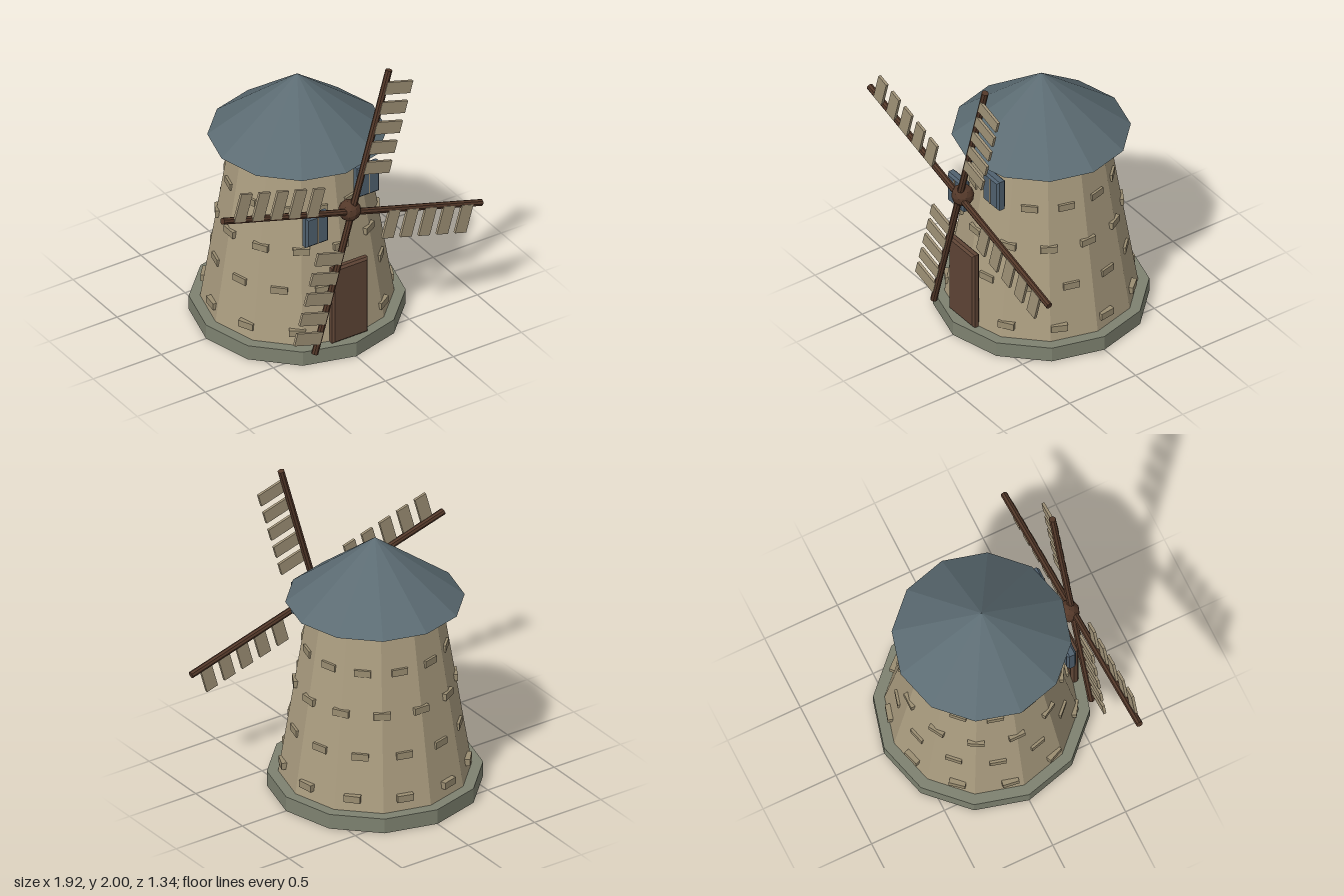
import * as THREE from 'three';

const mat = (name, color, extra = {}) => {
  const m = new THREE.MeshStandardMaterial({ color, flatShading: true, ...extra });
  m.name = name;
  return m;
};

export function createModel() {
  const wall = mat('sandstone', 0xab9d80);
  const brick = mat('brick', 0x9a8d71);
  const stone = mat('foundation stone', 0x7e8270);
  const slate = mat('roof slate', 0x5c6c73);
  const doorWood = mat('door wood', 0x5e4435);
  const darkWood = mat('dark wood', 0x533829);
  const glass = mat('shutter blue', 0x50616f);
  const slatWood = mat('pale slat wood', 0xa19378);

  const model = new THREE.Group();
  model.name = 'windmill';
  const add = (parent, name, geo, material, x = 0, y = 0, z = 0) => {
    const m = new THREE.Mesh(geo, material);
    m.name = name;
    m.position.set(x, y, z);
    parent.add(m);
    return m;
  };

  // box with chamfered edges, centred on the origin
  const chamferBox = (w, h, d, b) => {
    const x = w / 2 - b, y = h / 2 - b;
    const s = new THREE.Shape([[-x, -y], [x, -y], [x, y], [-x, y]].map(p => new THREE.Vector2(...p)));
    const g = new THREE.ExtrudeGeometry(s, {
      depth: d - 2 * b, bevelEnabled: true, bevelSize: b, bevelThickness: b, bevelSegments: 1,
    });
    return g.translate(0, 0, -d / 2 + b);
  };

  // twelve-sided body
  add(model, 'foundation', new THREE.CylinderGeometry(0.67, 0.67, 0.1, 12), stone, 0, 0.05);
  add(model, 'tower', new THREE.CylinderGeometry(0.41, 0.6, 1.19, 12), wall, 0, 0.695);
  add(model, 'roof', new THREE.ConeGeometry(0.556, 0.43, 12), slate, 0, 1.505);

  // raised bricks, alternate rows shifted by half a step
  const bricks = new THREE.Group();
  bricks.name = 'bricks';
  model.add(bricks);
  const rows = [[0.187, 11, 0], [0.457, 12, 0.5], [0.73, 12, 0], [1.0, 12, 0.5], [1.267, 12, 0]];
  const brickGeo = new THREE.BoxGeometry(0.105, 0.046, 0.05);
  for (const [y, count, shift] of rows) {
    const r = (0.6 - 0.16 * (y - 0.1)) * (shift ? 0.972 : 1) - 0.015;
    for (let i = 0; i < count; i++) {
      const a = ((i + shift) / count) * Math.PI * 2;
      add(bricks, 'brick', brickGeo, brick, Math.sin(a) * r, y, Math.cos(a) * r).rotation.y = a;
    }
  }

  // door and two windows
  add(model, 'door', chamferBox(0.262, 0.55, 0.055, 0.014), doorWood, 0, 0.375, 0.583);
  for (const [x, y] of [[-0.187, 0.915], [0.19, 1.15]]) {
    const win = new THREE.Group();
    win.name = 'window';
    win.position.set(x, y, 0.492);
    add(win, 'windowPanel', chamferBox(0.165, 0.215, 0.064, 0.014), glass);
    add(win, 'mullion', new THREE.BoxGeometry(0.007, 0.187, 0.006), slatWood, 0, 0, 0.033);
    model.add(win);
  }

  // sail wheel
  const sails = new THREE.Group();
  sails.name = 'sails';
  sails.position.set(0, 1.04, 0);
  sails.rotation.z = -0.279;
  model.add(sails);
  add(sails, 'hub', new THREE.IcosahedronGeometry(0.072, 1), darkWood, 0, 0, 0.595);
  const sparGeo = new THREE.CylinderGeometry(0.022, 0.022, 0.99, 8);
  const slatGeo = new THREE.BoxGeometry(0.195, 0.085, 0.018);
  for (let i = 0; i < 4; i++) {
    const blade = new THREE.Group();
    blade.name = 'blade';
    blade.rotation.z = i * Math.PI / 2;
    add(blade, 'spar', sparGeo, darkWood, 0, 0.495, 0.62);
    for (let k = 0; k < 5; k++) {
      add(blade, 'slat', slatGeo, slatWood, 0.095, 0.315 + k * 0.139, 0.635);
    }
    sails.add(blade);
  }
  return model;
}
